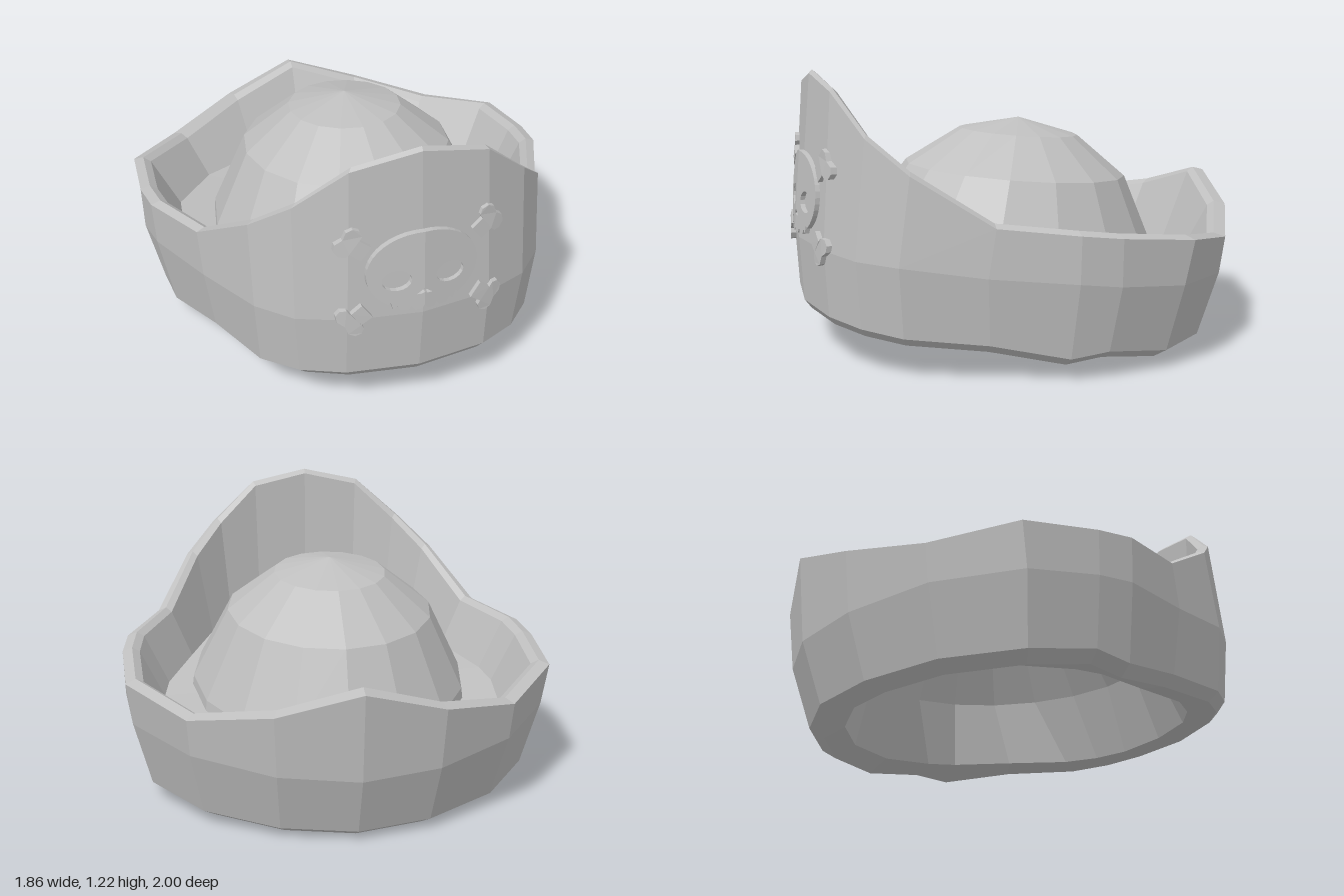
import * as THREE from 'three';

// Half outlines, front centre to back centre: [x, y, z]
const RIM = [[0, 1.2, .92], [.28, 1.145, .897], [.48, .975, .81], [.62, .84, .67], [.77, .64, .37], [.91, .615, .07],
  [.93, .595, -.1], [.91, .56, -.43], [.67, .5, -.72], [.34, .57, -.92], [0, .675, -1]];
const MID = [[0, .5, .985], [.3, .5, .945], [.49, .49, .86], [.62, .48, .72], [.76, .44, .4], [.9, .42, .07],
  [.925, .4, -.1], [.89, .37, -.4], [.66, .34, -.7], [.33, .31, -.89], [0, .3, -.96]];
const BASE = [[0, .22, .97], [.3, .22, .93], [.47, .205, .84], [.6, .185, .7], [.72, .155, .38], [.84, .1, .08],
  [.86, .12, -.08], [.82, .08, -.36], [.61, .06, -.63], [.31, .045, -.8], [0, .04, -.865]];

// Complete a half outline into a closed symmetric loop
const mirrorLoop = half => [...half, ...half.slice(1, -1).reverse().map(([x, y, z]) => [-x, y, z])];

// Scale a loop; the front and back halves may shrink differently
const shrink = (loop, sx, front, back, y) =>
  loop.map(p => [p[0] * sx, y(p), p[2] * (p[2] > 0 ? front : back)]);

// Tilted elliptical loop reaching from zFront to zBack
function ellipse(n, rx, zFront, yFront, zBack, yBack) {
  return Array.from({ length: n }, (_, i) => {
    const a = i / n * Math.PI * 2, t = (1 - Math.cos(a)) / 2;
    return [rx * Math.sin(a), yFront + (yBack - yFront) * t, zFront + (zBack - zFront) * t];
  });
}

// Faceted skin through successive loops, one normal per four-sided face
function skin(loops) {
  const n = loops[0].length, position = [], normal = [], index = [];
  for (let r = 0; r < loops.length - 1; r++) {
    for (let c = 0; c < n; c++) {
      const d = (c + 1) % n, first = position.length / 3;
      const quad = [loops[r][c], loops[r][d], loops[r + 1][d], loops[r + 1][c]];
      const [p, q, s, t] = quad.map(v => new THREE.Vector3(...v));
      const face = s.sub(p).cross(t.sub(q)).normalize();
      for (const v of quad) {
        position.push(...v);
        normal.push(face.x, face.y, face.z);
      }
      index.push(first, first + 1, first + 2, first, first + 2, first + 3);
    }
  }
  const g = new THREE.BufferGeometry();
  g.setAttribute('position', new THREE.Float32BufferAttribute(position, 3));
  g.setAttribute('normal', new THREE.Float32BufferAttribute(normal, 3));
  g.setIndex(index);
  return g;
}

// Dome loops from the base up to the apex
const domeLoops = (n, s, drop) => [
  [.62, .72, .5, -.66, .35], [.46, .49, .79, -.52, .7], [.25, .24, .935, -.3, .89], [0, -.03, .975, -.03, .975],
].map(([rx, zf, yf, zb, yb]) => ellipse(n, rx * s, zf * s, yf - drop, zb * s, yb - drop));

// Extrude a flat emblem shape and lay it on the sloping front
function emblem(shape) {
  const g = new THREE.ExtrudeGeometry(shape, { depth: .03, bevelEnabled: false, curveSegments: 8 });
  const p = g.attributes.position;
  for (let i = 0; i < p.count; i++) {
    const x = Math.abs(p.getX(i)), y = p.getY(i);
    p.setZ(i, p.getZ(i) + .975 - .13 * x - .25 * Math.max(x - .29, 0) - .085 * Math.max(y - .5, 0));
  }
  g.computeVertexNormals();
  return g;
}

function halfSkull() {
  const s = new THREE.Shape();
  s.moveTo(0, .55);
  for (const [x, y] of [[.01, .532], [.04, .528], [.052, .55], [.066, .53], [.098, .533], [.108, .556], [.125, .54],
    [.135, .575]]) s.lineTo(x, y);
  s.absellipse(0, .7, .23, .175, -.88, Math.PI / 2, false);
  // nose notch on the centre line
  s.lineTo(0, .625);
  s.lineTo(.032, .6);
  s.lineTo(.012, .6);
  s.lineTo(0, .607);
  const eye = new THREE.Path();
  eye.absellipse(.11, .67, .06, .045, 0, Math.PI * 2, true);
  s.holes.push(eye);
  return s;
}

// Bone end: short shaft and two knobs, pointing outward at an angle
function boneEnd(cx, cy, angle) {
  const pts = [[-.06, -.035], [-.005, -.033], [-.002, -.055], [.02, -.068], [.047, -.06], [.06, -.035], [.05, 0],
    [.06, .035], [.047, .06], [.02, .068], [-.002, .055], [-.005, .033], [-.06, .035]];
  const c = Math.cos(angle), s = Math.sin(angle);
  return new THREE.Shape(pts.map(([x, y]) => new THREE.Vector2(cx + x * c - y * s, cy + x * s + y * c)));
}

export function createModel() {
  const model = new THREE.Group();
  model.name = 'hat';
  const grey = new THREE.MeshStandardMaterial({ color: 0xbfbfbf });
  grey.name = 'grey';
  const add = (name, geometry, parent = model) => {
    const mesh = new THREE.Mesh(geometry, grey);
    mesh.name = name;
    parent.add(mesh);
  };

  // Turned-up brim: underside, outer wall, bevelled rim, inner wall and floor
  const [rim, mid, base] = [RIM, MID, BASE].map(mirrorLoop);
  const opening = shrink(base, .79, .84, .83, p => .11 + .067 * p[2]);
  add('brim', skin([
    opening,
    shrink(base, .93, .97, .925, p => p[1] - .04),
    base, mid, rim,
    shrink(rim, .955, .985, .945, p => p[1] + .015),
    shrink(rim, .92, .96, .915, p => p[1] - .005),
    shrink(mid, .815, .9, .8, p => .38 + .08 * p[2]),
    shrink(mid, .6, .66, .62, p => .38 + .08 * p[2]),
  ]));

  // Crown dome
  const dome = domeLoops(16, 1, 0);
  const foot = dome[0].map(([x, y, z]) => [x * 1.02, y - .1, z * 1.02]);
  add('crown', skin([foot, ...dome]));

  // Hollow inside of the crown
  add('lining', skin([...domeLoops(20, .96, .025).reverse(), opening]));

  // Skull and bone ends, mirrored about the centre
  for (const side of [1, -1]) {
    const half = new THREE.Group();
    half.name = side > 0 ? 'leftEmblem' : 'rightEmblem';
    half.scale.x = side;
    add('skull', emblem(halfSkull()), half);
    add('upperBone', emblem(boneEnd(.275, .84, .65)), half);
    add('lowerBone', emblem(boneEnd(.275, .51, -.65)), half);
    model.add(half);
  }
  return model;
}
